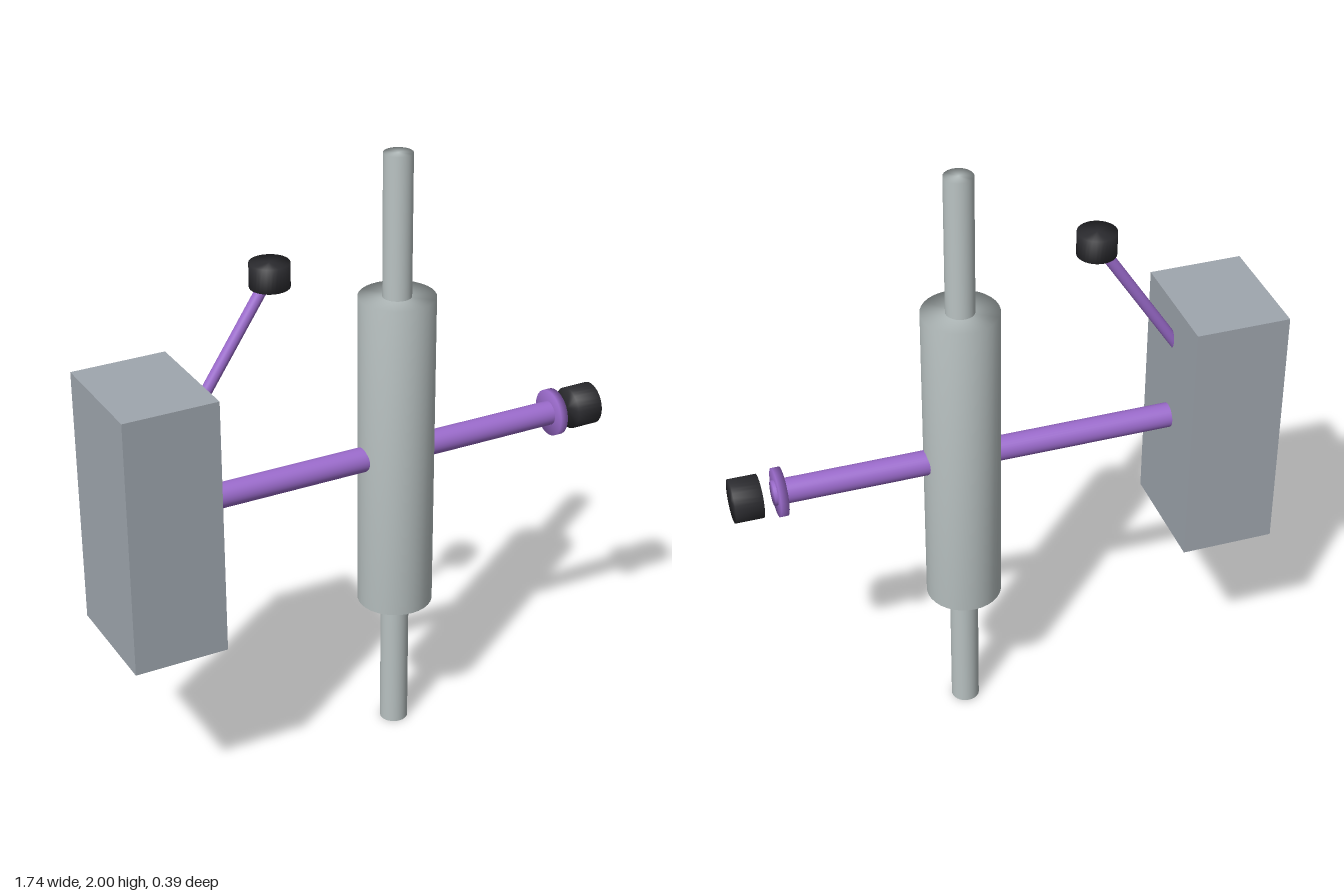
import * as THREE from 'three';
import { mergeVertices } from 'three/addons/utils/BufferGeometryUtils.js';

const material = (name, color) => {
  const m = new THREE.MeshStandardMaterial({ color });
  m.name = name;
  return m;
};

// Cylinder between two points, with normals shared across side and caps
function rod(name, radius, from, to, mat) {
  const a = new THREE.Vector3(...from);
  const b = new THREE.Vector3(...to);
  const axis = b.clone().sub(a);
  let geometry = new THREE.CylinderGeometry(radius, radius, axis.length(), 32);
  geometry.deleteAttribute('normal');
  geometry.deleteAttribute('uv');
  geometry = mergeVertices(geometry);
  geometry.computeVertexNormals();
  const mesh = new THREE.Mesh(geometry, mat);
  mesh.name = name;
  mesh.position.copy(a).add(b).multiplyScalar(0.5);
  mesh.quaternion.setFromUnitVectors(new THREE.Vector3(0, 1, 0), axis.normalize());
  return mesh;
}

export function createModel() {
  const steel = material('pale steel', 0xb9c2c2);
  const grey = material('box grey', 0x9fa6ae);
  const purple = material('purple metal', 0x9b6bcc);
  const black = material('black rubber', 0x2c2c30);

  const group = new THREE.Group();
  group.name = 'mechanism';

  // Rectangular housing
  const housing = new THREE.Mesh(new THREE.BoxGeometry(0.305, 0.845, 0.388), grey);
  housing.name = 'housing';
  housing.position.set(-0.717, 1.003, 0);
  group.add(housing);

  // Upright drum on its spindle
  const cx = 0.128;
  group.add(
    rod('drum', 0.122, [cx, 0.467, 0], [cx, 1.539, 0], steel),
    rod('spindle', 0.046, [cx, 0, 0], [cx, 2, 0], steel)
  );

  // Cross shaft with collar and separate end knob
  const y = 1.003;
  group.add(
    rod('crossShaft', 0.04, [-0.6, y, 0], [0.737, y, 0], purple),
    rod('shaftCollar', 0.077, [0.702, y, 0], [0.728, y, 0], purple),
    rod('shaftKnob', 0.069, [0.777, y, 0], [0.866, y, 0], black)
  );

  // Slanted lever with its knob
  group.add(
    rod('lever', 0.018, [-0.6, 1.243, 0], [-0.332, 1.65, 0], purple),
    rod('leverKnob', 0.062, [-0.303, 1.658, 0], [-0.303, 1.735, 0], black)
  );

  return group;
}
